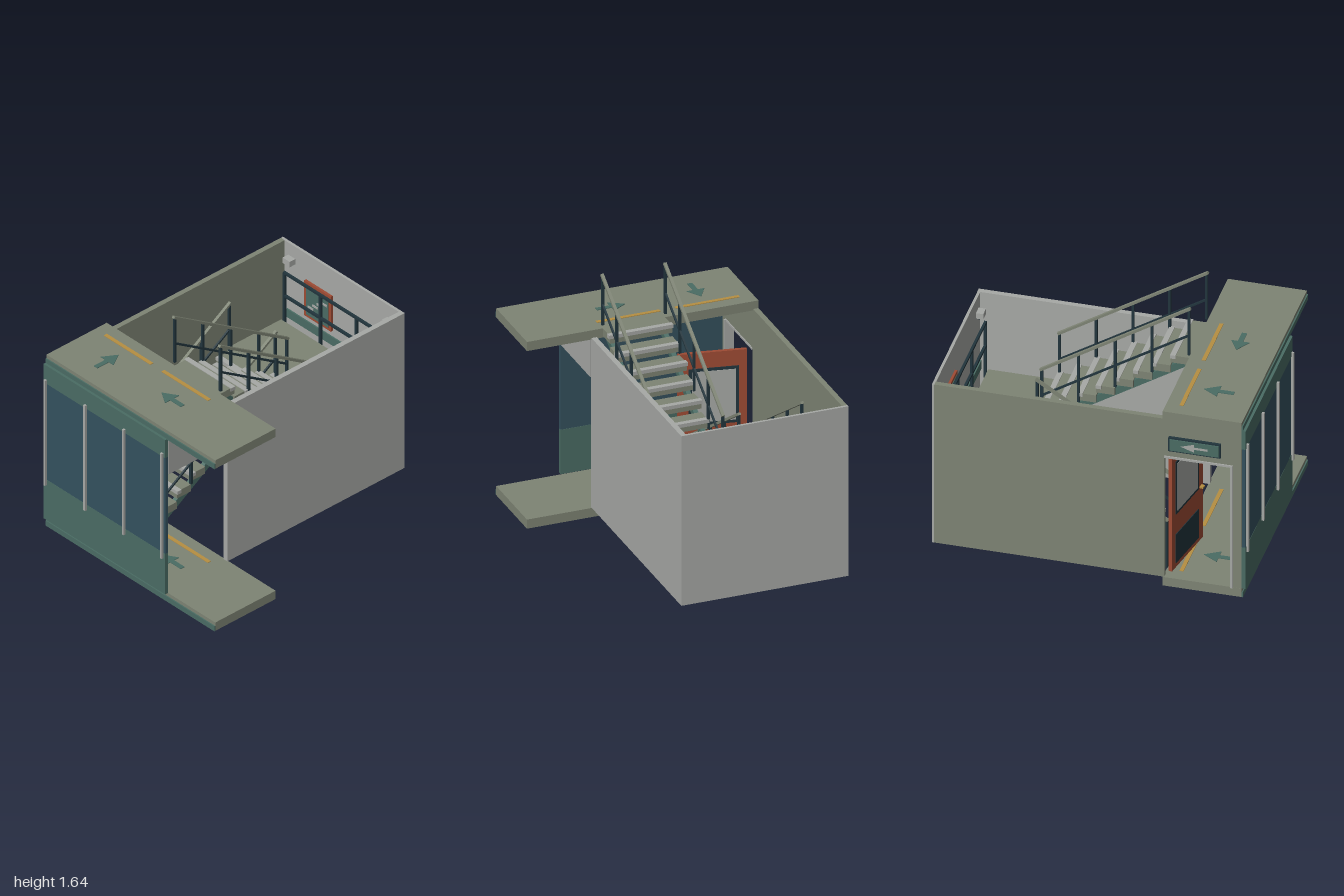
import * as THREE from 'three';

const mat = (name, color) => {
  const m = new THREE.MeshStandardMaterial({ color });
  m.name = name;
  return m;
};

export function createModel() {
  const olive = mat('olive concrete', 0x7e8474);
  const grey = mat('pale grey', 0xa7a9a6);
  const green = mat('muted green', 0x4a6c64);
  const blue = mat('blue glass', 0x34515e);
  const dark = mat('dark metal', 0x22353d);
  const red = mat('rust red', 0x9e4b34);
  const yellow = mat('yellow', 0xb68f42);

  const root = new THREE.Group();
  root.name = 'stairwell';
  const group = (name, parent = root) => {
    const g = new THREE.Group();
    g.name = name;
    parent.add(g);
    return g;
  };
  // box given by its lower and upper bounds
  const box = (name, m, x0, x1, y0, y1, z0, z1, parent = root) => {
    const b = new THREE.Mesh(new THREE.BoxGeometry(x1 - x0, y1 - y0, z1 - z0), m);
    b.position.set((x0 + x1) / 2, (y0 + y1) / 2, (z0 + z1) / 2);
    b.name = name;
    parent.add(b);
    return b;
  };
  // square bar between two points in a plane of constant x
  const slopedBar = (name, m, x, w, h, y0, z0, y1, z1, parent) => {
    const b = new THREE.Mesh(new THREE.BoxGeometry(w, h, Math.hypot(y1 - y0, z1 - z0)), m);
    b.position.set(x, (y0 + y1) / 2, (z0 + z1) / 2);
    b.rotation.x = -Math.atan2(y1 - y0, z1 - z0);
    b.name = name;
    parent.add(b);
  };

  // floor arrow, tip at -y of the shape
  const arrowShape = new THREE.Shape([[-0.016, -0.095], [0.016, -0.095], [0.016, 0], [0.058, 0],
    [0, 0.095], [-0.058, 0], [-0.016, 0]].map(p => new THREE.Vector2(...p)));
  const arrowGeo = new THREE.ExtrudeGeometry(arrowShape, { depth: 0.004, bevelEnabled: false });

  // lower and upper platforms with trim and floor markings
  for (const [name, y] of [['lowerPlatform', 0], ['upperPlatform', 1.21]]) {
    const g = group(name), top = y + 0.062;
    box('slab', olive, -0.75, 0.775, y, top, 0.46, 0.96, g);
    box('frontTrim', green, -0.75, 0.775, y, y + 0.037, 0.96, 0.968, g);
    for (const x of [-0.45, 0.07])
      box('warningStrip', yellow, x - 0.21, x + 0.21, top, top + 0.004, 0.542, 0.567, g);
    for (const [x, z, turn] of [[-0.447, 0.735, 0], [0.12, 0.717, Math.PI / 2]]) {
      const a = new THREE.Mesh(arrowGeo, green);
      a.rotation.set(-Math.PI / 2, 0, turn);
      a.position.set(x, top, z);
      a.name = 'floorArrow';
      g.add(a);
    }
  }

  // front glazed facade
  const front = group('frontFacade');
  box('lowerPanel', green, -0.75, 0.35, 0.063, 0.365, 0.96, 0.985, front);
  box('glass', blue, -0.75, 0.35, 0.365, 1.08, 0.962, 0.984, front);
  box('upperPanel', green, -0.75, 0.35, 1.08, 1.215, 0.96, 0.985, front);
  for (const x of [-0.727, -0.366, -0.016, 0.326])
    box('mullion', grey, x - 0.008, x + 0.008, 0.325, 1.11, 0.984, 1.0, front);

  // enclosure walls with a doorway on either side
  const walls = group('walls');
  box('leftWall', olive, -0.75, -0.715, 0.065, 1.22, -0.985, 0.47, walls);
  box('leftHeader', olive, -0.75, -0.715, 0.95, 1.212, 0.47, 0.96, walls);
  box('leftColumn', olive, -0.75, -0.715, 0.063, 0.95, 0.905, 0.96, walls);
  box('rightWall', grey, 0.315, 0.35, 0.065, 1.22, -0.985, 0.47, walls);
  box('rightHeader', grey, 0.318, 0.354, 0.95, 1.212, 0.47, 0.96, walls);
  box('backWall', grey, -0.75, 0.35, 0.065, 1.22, -1.0, -0.982, walls);
  box('doorJamb', grey, -0.765, -0.7, 0.063, 0.95, 0.89, 0.905, walls);
  box('doorLintel', grey, -0.758, -0.71, 0.938, 0.952, 0.47, 0.905, walls);

  // exit sign over the left doorway
  const sign = group('exitSign');
  box('signCase', dark, -0.768, -0.75, 1.0, 1.1, 0.5, 0.83, sign);
  box('signFace', green, -0.775, -0.768, 1.01, 1.09, 0.51, 0.82, sign);
  const signArrow = new THREE.Mesh(arrowGeo, grey);
  signArrow.scale.set(0.5, 0.9, 0.2);
  signArrow.rotation.set(0, -Math.PI / 2, Math.PI / 2);
  signArrow.position.set(-0.7745, 1.05, 0.665);
  signArrow.name = 'signArrow';
  sign.add(signArrow);

  // middle landing with its back rail
  const midY = 0.667;
  const landing = group('landing');
  box('landingSlab', olive, -0.69, 0.31, midY - 0.05, midY, -0.93, -0.48, landing);
  for (const y of [midY + 0.18, midY + 0.35])
    box('landingRail', dark, -0.68, 0.3, y - 0.008, y + 0.008, -0.952, -0.936, landing);
  for (const x of [-0.675, -0.35, -0.025, 0.295])
    box('landingPost', dark, x - 0.008, x + 0.008, midY - 0.05, midY + 0.35, -0.952, -0.936, landing);
  box('landingSkirting', green, -0.69, 0.31, midY, midY + 0.06, -0.982, -0.972, landing);

  // two flights of eight steps
  const run = 0.1175, rise = 0.0753, slope = rise / run;
  const flight = (name, cx, dir) => {
    const g = group(name);
    // height of the step line: rises to -z for dir -1, to +z for dir 1
    const baseY = dir < 0 ? 0.065 : 1.272;
    const line = z => baseY + dir * slope * (z - 0.46);
    for (let k = 0; k < 8; k++) {
      const z1 = 0.46 - k * run, z0 = z1 - run;
      const y = dir < 0 ? baseY + (k + 1) * rise : baseY - k * rise;
      box('tread', olive, cx - 0.205, cx + 0.205, y - 0.052, y, z0, z1, g);
      const n = dir < 0 ? z1 - 0.016 : z0 + 0.016;
      box('nosing', grey, cx - 0.212, cx + 0.212, y - 0.02, y + 0.004, n - 0.017, n + 0.017, g);
    }
    for (const s of [-1, 1]) {
      const sx = cx + s * 0.175, rx = cx + s * 0.207;
      slopedBar('stringer', green, sx, 0.03, 0.045, line(0.44) - 0.035, 0.44,
        line(-0.48) - 0.035, -0.48, g);
      slopedBar('handrail', olive, rx, 0.02, 0.016, line(0.47) + 0.357, 0.47,
        line(-0.48) + 0.357, -0.48, g);
      slopedBar('midRail', dark, rx, 0.012, 0.012, line(0.46) + 0.165, 0.46,
        line(-0.47) + 0.165, -0.47, g);
      for (let i = 0; i < 5; i++) {
        const z = 0.46 - i * 0.2325;
        box('post', dark, rx - 0.008, rx + 0.008, line(z) + (i || dir < 0 ? 0.01 : 0.025),
          line(z) + 0.352, z - 0.008, z + 0.008, g);
      }
    }
  };
  flight('lowerFlight', -0.45, -1);
  flight('upperFlight', 0.07, 1);

  // door standing ajar at the foot of the lower flight
  const door = group('door');
  door.position.set(-0.685, 0, 0.49);
  door.rotation.y = -0.19;
  box('leaf', red, 0, 0.43, 0.068, 0.945, -0.012, 0.012, door);
  for (const s of [-1, 1]) {
    const plate = (name, m, x0, x1, y0, y1, d) =>
      box(name, m, x0, x1, y0, y1, s * d - 0.003, s * d + 0.003, door);
    plate('windowFrame', dark, 0.05, 0.365, 0.455, 0.84, 0.013);
    plate('windowPane', grey, 0.07, 0.345, 0.475, 0.82, 0.016);
    plate('kickPlate', dark, 0.05, 0.365, 0.1, 0.31, 0.013);
    box('handle', yellow, 0.385, 0.415, 0.45, 0.462, Math.min(0, s * 0.035), Math.max(0, s * 0.035), door);
  }

  // stair notice on the back wall
  const notice = group('stairNotice');
  box('noticeFrame', red, -0.52, -0.28, 0.77, 1.03, -0.982, -0.965, notice);
  box('noticePanel', green, -0.5, -0.3, 0.79, 1.01, -0.965, -0.961, notice);
  for (let i = 0; i < 4; i++)
    box('noticeStep', grey, -0.48 + i * 0.04, -0.43 + i * 0.04, 0.85 + i * 0.03, 0.865 + i * 0.03,
      -0.961, -0.957, notice);

  // lamps high on the back wall
  for (const x of [-0.65, 0.245]) {
    box('wallLamp', grey, x - 0.032, x + 0.032, 1.09, 1.13, -0.982, -0.935);
    box('lampBase', dark, x - 0.02, x + 0.02, 1.08, 1.09, -0.98, -0.945);
  }

  // storage box below the landing
  const chest = group('storageBox');
  box('chestBody', red, -0.65, -0.48, 0.11, 0.24, -0.81, -0.65, chest);
  box('chestBase', dark, -0.635, -0.495, 0.08, 0.11, -0.795, -0.665, chest);

  return root;
}
